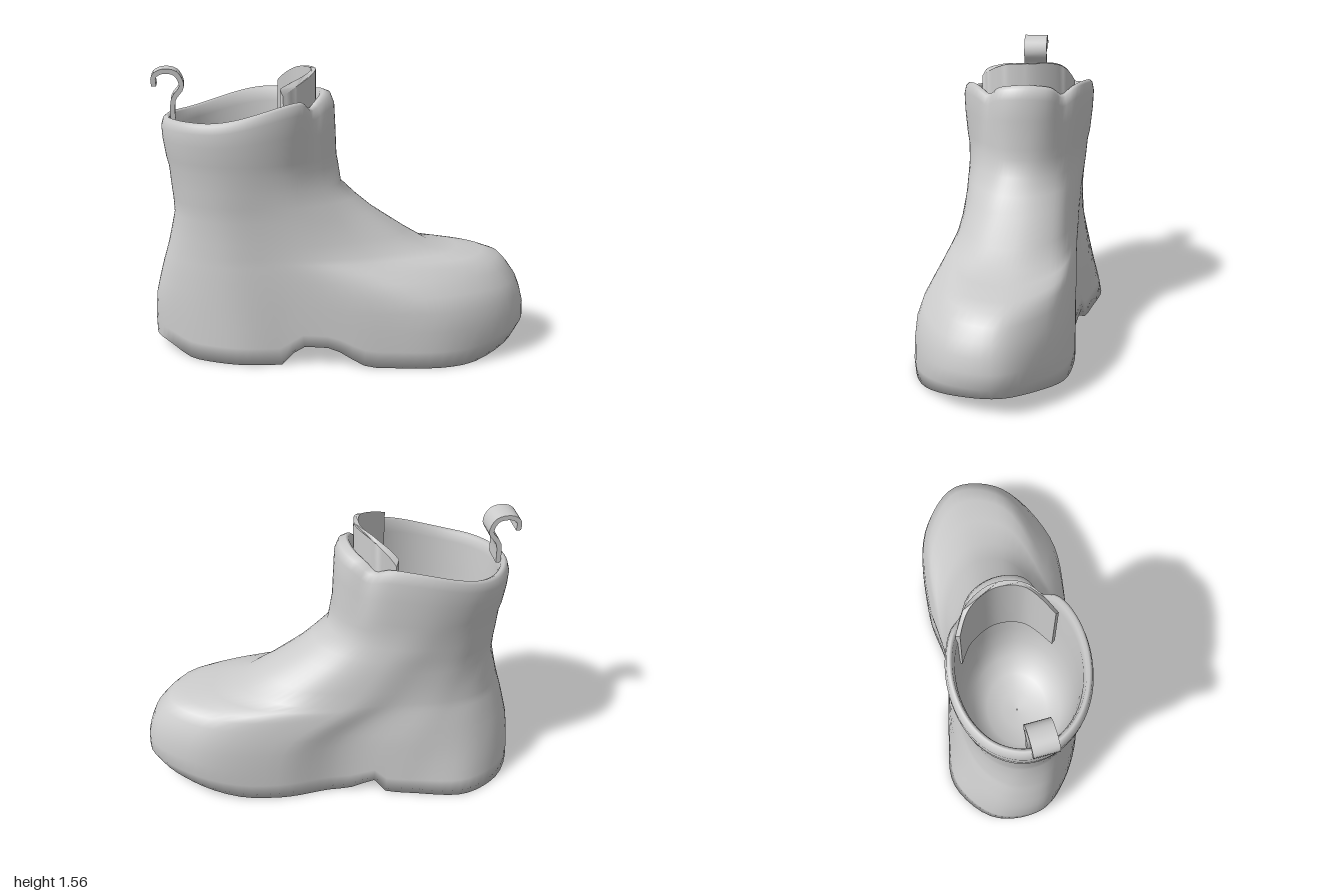
import * as THREE from 'three';
import { toCreasedNormals } from 'three/addons/utils/BufferGeometryUtils.js';

const smooth = THREE.MathUtils.smoothstep;
const lerp = THREE.MathUtils.lerp;
const bump = (v, c, w) => Math.exp(-(((v - c) / w) ** 2));

// Foot outline [x, z]: back of heel, along the -z side to the toe, back along +z
const FOOT = [
  [-1, -0.22], [-0.92, -0.47], [-0.62, -0.61], [-0.3, -0.49], [0.05, -0.32], [0.4, -0.275], [0.82, -0.09],
  [1, 0.2], [0.87, 0.465], [0.45, 0.595], [0.05, 0.48], [-0.3, 0.31], [-0.65, 0.2], [-0.9, -0.02],
];
const COUNT = FOOT.length;
const RING = COUNT * 6;

// Levels [y, shaft scale, then heel, flank, side and toe blends from shaft oval to foot outline]
const OUTSIDE = [
  [0, 0.86, 0.97, 0.98, 0.985, 0.96],
  [0.09, 0.86, 1, 0.9, 1, 1],
  [0.2, 0.86, 1, 0.76, 0.99, 1],
  [0.3, 0.86, 0.95, 0.64, 0.96, 0.985],
  [0.38, 0.86, 0.83, 0.54, 0.88, 0.965],
  [0.45, 0.86, 0.7, 0.45, 0.74, 0.925],
  [0.5, 0.86, 0.6, 0.38, 0.62, 0.885],
  [0.53, 0.86, 0.53, 0.33, 0.54, 0.81],
  [0.55, 0.86, 0.49, 0.3, 0.49, 0.68],
  [0.575, 0.86, 0.43, 0.27, 0.43, 0.54],
  [0.65, 0.86, 0.28, 0.2, 0.33, 0.43],
  [0.77, 0.87, 0.04, 0.04, 0.22, 0.27],
  [0.85, 0.89, 0, 0, 0.15, 0.18],
  [0.93, 0.91, 0, 0, 0.07, 0.1],
  [1.03, 0.93, 0, 0, 0.03, 0.08],
  [1.08, 0.96, 0, 0, 0.01, 0.06],
  [1.18, 0.995, 0, 0, 0, 0.04],
  [1.25, 1.005, 0, 0, 0, 0.03],
  [1.29, 0.98, 0, 0, 0, 0.02],
];
// Lining levels [y, shaft scale]
const INSIDE = [
  [1.305, 0.94], [1.295, 0.9], [1.24, 0.87], [1.05, 0.86], [0.85, 0.83],
  [0.7, 0.77], [0.6, 0.65], [0.55, 0.45], [0.53, 0.22], [0.525, 0.01],
];

// One closed ring of points for a level
function section([y, scale, heel = 0, flank = 0, side = 0, toe = 0]) {
  const blend = [heel, (heel + flank) / 2, flank, (flank + side) / 2, side, side, lerp(side, toe, 0.85), toe];
  const control = FOOT.map(([fx, fz], i) => {
    const a = (i / COUNT) * Math.PI * 2;
    const ex = Math.cos(a) * 0.44 * scale, ez = Math.sin(a) * 0.38 * scale;
    const sx = -0.5 - ex - ez * 0.1, sz = -0.135 - ez - ex * 0.04;
    const k = blend[Math.min(i, COUNT - i)];
    return new THREE.Vector3(lerp(sx, fx, k), y, lerp(sz, fz, k));
  });
  const curve = new THREE.CatmullRomCurve3(control, true, 'centripetal');
  return Array.from({ length: RING }, (_, i) => {
    const p = curve.getPoint(i / RING);
    // arch in front of the slanted heel block, toe spring and raised heel edge
    const arch = 0.1 * smooth(p.x + 0.3 * p.z, -0.33, -0.24) * (1 - smooth(p.x, -0.2, 0.03));
    const lift = arch + 0.09 * smooth(p.x, 0.5, 1) + 0.07 * smooth(-p.x, 0.84, 1);
    p.y += lift * Math.max(0, 1 - y / 0.35);
    // collar rises to the front, with a crease on each side of the throat
    const collar = smooth(y, 1.05, 1.3);
    const front = Math.abs(i / RING - 0.53) * Math.PI * 2;
    const crease = collar * bump(front, 0.66, 0.16);
    p.y += collar * (0.105 * smooth(p.x, -0.8, -0.25) + 0.025 * bump(front, 0, 0.4)) - crease * 0.05;
    p.x -= crease * 0.05 * (p.x + 0.5);
    p.z -= crease * 0.08 * (p.z + 0.13);
    return p;
  });
}

// Collapse a ring onto its own midline, to close the sole
const midline = (ring) => ring.map((p, i) => p.clone().lerp(ring[(RING - i) % RING], 0.5));

function loft(rings) {
  const index = [];
  for (let r = 0; r < rings.length - 1; r++) {
    for (let i = 0; i < RING; i++) {
      const j = (i + 1) % RING;
      const a = r * RING + i, b = r * RING + j, c = b + RING, d = a + RING;
      index.push(a, d, b, b, d, c);
    }
  }
  const geometry = new THREE.BufferGeometry().setFromPoints(rings.flat());
  geometry.setIndex(index);
  geometry.computeVertexNormals();
  return geometry;
}

// Band of even thickness following a flat curve, extruded by depth
function band(points, thickness, depth) {
  const curve = new THREE.SplineCurve(points.map(([x, y]) => new THREE.Vector2(x, y)));
  const n = 24, one = [], other = [];
  for (let i = 0; i <= n; i++) {
    const p = curve.getPoint(i / n), t = curve.getTangent(i / n);
    const normal = new THREE.Vector2(-t.y, t.x).multiplyScalar(thickness / 2);
    one.push(p.clone().add(normal));
    other.unshift(p.clone().sub(normal));
  }
  return new THREE.ExtrudeGeometry(new THREE.Shape([...one, ...other]), { depth, bevelEnabled: false });
}

export function createModel() {
  const grey = new THREE.MeshStandardMaterial({ color: 0xcccccc });
  grey.name = 'light grey';
  const boot = new THREE.Group();
  boot.name = 'boot';
  const add = (name, geometry) => {
    const mesh = new THREE.Mesh(geometry, grey);
    mesh.name = name;
    boot.add(mesh);
    return mesh;
  };

  // Sole, upper, padded collar and lining in one skin
  const outside = OUTSIDE.map(section), inside = INSIDE.map(section);
  add('bootBody', loft([midline(outside[0]), ...outside, ...inside]));

  // Tongue: curved band inside the front of the opening, rounded at the top corners
  const tongue = band([[-0.25, 0.35], [-0.165, 0.25], [-0.13, 0.09], [-0.2, -0.06], [-0.37, -0.14]], 0.026, 0.5);
  tongue.rotateX(-Math.PI / 2).translate(0, 1, 0);
  const position = tongue.attributes.position;
  for (let i = 0; i < position.count; i++) {
    if (position.getY(i) > 1.3) {
      const off = Math.abs(position.getZ(i) + 0.1) / 0.25;
      position.setY(i, 1.545 - 0.11 * off ** 4);
    }
  }
  add('tongue', toCreasedNormals(tongue, 0.7));

  // Hooked pull strap at the back of the collar
  const strap = band([[0.02, 0], [0.025, 0.11], [0.07, 0.18], [0.04, 0.25], [-0.03, 0.262], [-0.075, 0.235], [-0.075, 0.185]], 0.026, 0.135);
  strap.translate(0, 0, -0.0675);
  const pull = add('pullStrap', toCreasedNormals(strap, 0.7));
  pull.position.set(-0.895, 1.285, -0.225);
  pull.rotation.y = -0.2;

  return boot;
}
